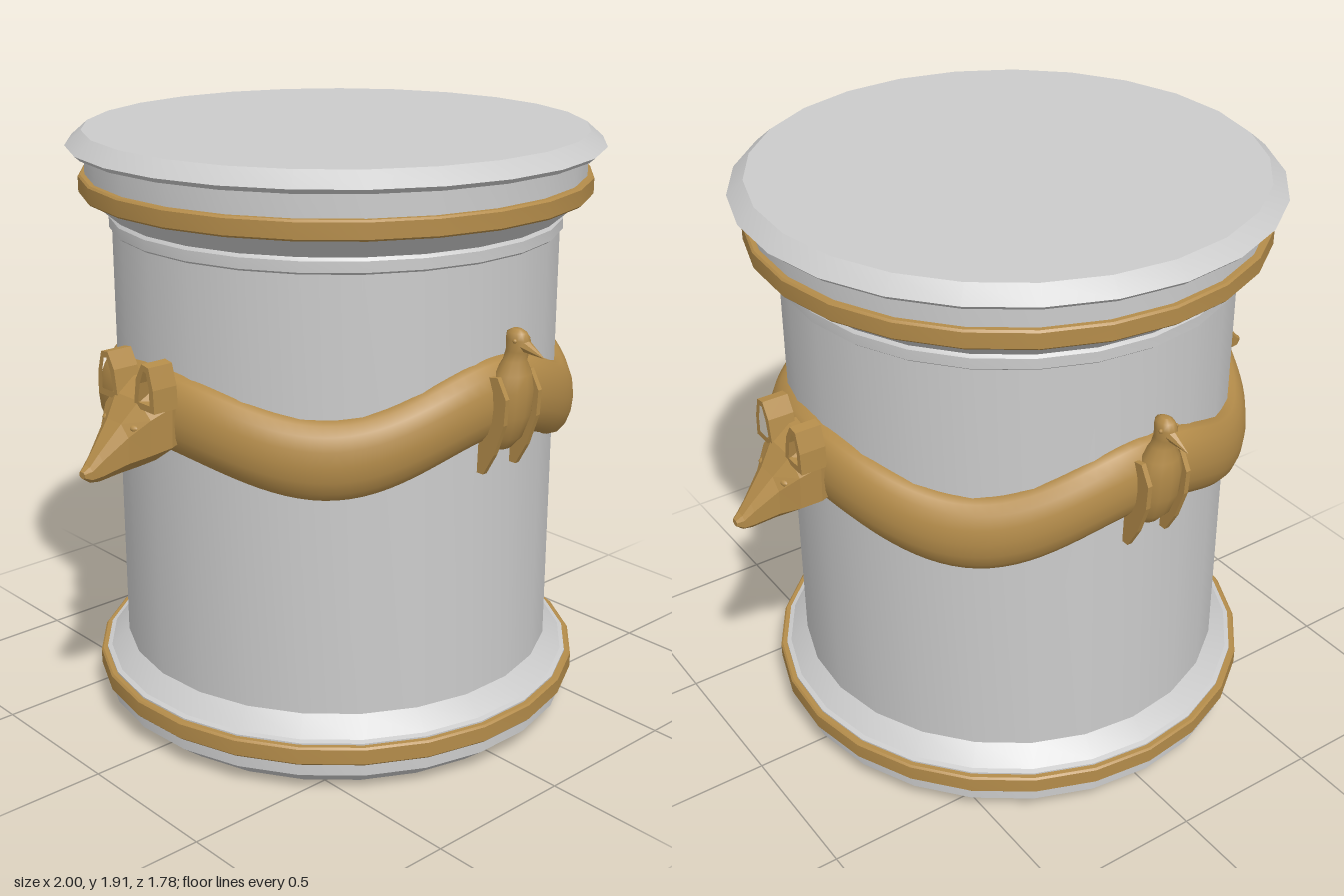
import * as THREE from 'three';
import { toCreasedNormals } from 'three/addons/utils/BufferGeometryUtils.js';
import { ParametricGeometry } from 'three/addons/geometries/ParametricGeometry.js';

const SIDES = 25;
const stone = new THREE.MeshStandardMaterial({ color: 0xcccccc });
const gold = new THREE.MeshStandardMaterial({ color: 0xb48c4a });
const goldFlat = new THREE.MeshStandardMaterial({ color: 0xb48c4a, flatShading: true });

function mesh(name, geometry, material) {
  const m = new THREE.Mesh(geometry, material);
  m.name = name;
  return m;
}

// Turned part with crisp profile edges, one corner facing the back
function turned(profile) {
  const pts = profile.map(([r, y]) => new THREE.Vector2(r, y));
  return toCreasedNormals(new THREE.LatheGeometry(pts, SIDES, Math.PI), 0.35);
}

// Capped skin over rings of [x, y, z], counter-clockwise seen from the last ring
function loft(rings) {
  const n = rings[0].length, pos = rings.flat(2), idx = [];
  for (let i = 0; i < rings.length - 1; i++) {
    for (let k = 0; k < n; k++) {
      const a = i * n + k, b = i * n + (k + 1) % n;
      idx.push(a, b, b + n, a, b + n, a + n);
    }
  }
  const last = (rings.length - 1) * n;
  for (let k = 1; k < n - 1; k++) {
    idx.push(0, k + 1, k, last, last + k, last + k + 1);
  }
  const g = new THREE.BufferGeometry();
  g.setAttribute('position', new THREE.Float32BufferAttribute(pos, 3));
  g.setIndex(idx);
  g.computeVertexNormals();
  return g;
}

function shapeOf(points) {
  return new THREE.Shape(points.map(([a, b]) => new THREE.Vector2(a, b)));
}

// Fox head looking along +x
function foxHead() {
  const head = new THREE.Group();
  const half = [[0.5, 1], [1, 0.78], [0.95, 0.25], [0.35, 0]];
  const outline = [...half, ...half.map(([w, h]) => [-w, h]).reverse()];
  // x, bottom, top, half width
  const sections = [
    [0.66, 1.03, 1.25, 0.12], [0.77, 1.0, 1.24, 0.14], [0.83, 0.99, 1.2, 0.115],
    [0.88, 0.98, 1.135, 0.07], [0.95, 0.967, 1.055, 0.036], [0.98, 0.97, 1.02, 0.026],
    [1.0, 0.985, 1.005, 0.014],
  ];
  head.add(mesh('foxFace', loft(sections.map(([x, lo, hi, w]) =>
    outline.map(([a, b]) => [x, lo + (hi - lo) * b, a * w]))), goldFlat));

  for (const s of [-1, 1]) {
    // Hollow ear: thick rim with a plate behind it
    const rim = [[0.04, 1.18], [0.14, 1.18], [0.137, 1.25], [0.118, 1.315], [0.085, 1.32], [0.055, 1.27]];
    const inner = [[0.062, 1.2], [0.118, 1.2], [0.118, 1.25], [0.105, 1.298], [0.092, 1.3], [0.074, 1.26]];
    const ring = shapeOf(rim.map(([z, y]) => [-s * z, y]));
    ring.holes.push(shapeOf(inner.map(([z, y]) => [-s * z, y])));
    const ear = mesh('ear', new THREE.ExtrudeGeometry(ring, { depth: 0.07, bevelEnabled: false }), goldFlat);
    ear.rotation.y = Math.PI / 2;
    ear.position.x = 0.765;
    const plate = mesh('earBack', new THREE.ExtrudeGeometry(
      shapeOf(rim.map(([z, y]) => [-s * z, y])), { depth: 0.025, bevelEnabled: false }), goldFlat);
    plate.rotation.y = Math.PI / 2;
    plate.position.x = 0.75;

    const eye = mesh('eye', new THREE.SphereGeometry(0.016, 10, 8), gold);
    eye.scale.set(1, 0.75, 1.2);
    eye.position.set(0.855, 1.125, s * 0.068);
    head.add(ear, plate, eye);
  }
  return head;
}

// Perched bird looking along +z
function bird() {
  const group = new THREE.Group();
  // y, centre z, half width, half depth
  const sections = [
    [1.04, 0.74, 0.03, 0.02], [1.08, 0.755, 0.055, 0.04], [1.15, 0.765, 0.07, 0.055],
    [1.23, 0.768, 0.072, 0.06], [1.28, 0.77, 0.058, 0.053], [1.32, 0.775, 0.036, 0.036],
    [1.35, 0.783, 0.03, 0.037], [1.385, 0.785, 0.031, 0.04], [1.405, 0.78, 0.025, 0.033],
    [1.415, 0.78, 0.011, 0.015],
  ];
  group.add(mesh('birdBody', loft(sections.map(([y, zc, w, d]) =>
    Array.from({ length: 12 }, (_, k) => {
      const a = k / 12 * Math.PI * 2;
      return [w * Math.sin(a), y, zc + d * Math.cos(a)];
    }))), gold));

  const beak = mesh('beak', new THREE.ConeGeometry(0.022, 0.085, 8), goldFlat);
  beak.rotation.x = Math.PI / 2 + 0.3;
  beak.position.set(0, 1.358, 0.848);
  group.add(beak);

  const wing = shapeOf([[0.72, 1.27], [0.78, 1.28], [0.815, 1.22], [0.81, 1.14], [0.775, 1.04], [0.735, 0.97], [0.71, 0.97]]);
  for (const s of [-1, 1]) {
    const w = mesh('wing', new THREE.ExtrudeGeometry(wing, { depth: 0.016, bevelEnabled: false }), goldFlat);
    // Turn the outline into the side plane, keeping its depth towards the front
    w.rotation.y = -Math.PI / 2;
    w.position.x = s * 0.071 + 0.008;
    group.add(w);

    const eye = mesh('birdEye', new THREE.SphereGeometry(0.007, 8, 6), gold);
    eye.position.set(s * 0.028, 1.385, 0.797);
    group.add(eye);
  }
  return group;
}

export function createModel() {
  const model = new THREE.Group();
  model.name = 'ornamentedColumn';

  // Drum with base, shaft, neck ring and cap
  model.add(mesh('column', turned([
    [0, 0], [0.71, 0], [0.785, 0.06], [0.785, 0.17], [0.77, 0.175], [0.71, 0.23],
    [0.708, 1.605], [0.717, 1.612], [0.717, 1.645], [0.71, 1.655], [0.785, 1.72],
    [0.785, 1.855], [0.825, 1.855], [0.842, 1.87], [0.79, 1.915], [0, 1.915],
  ]), stone));

  // Gilded bands
  for (const [name, y] of [['lowerBand', 0.105], ['upperBand', 1.72]]) {
    model.add(mesh(name, turned([
      [0.77, y], [0.8, y], [0.806, y + 0.006], [0.806, y + 0.054], [0.8, y + 0.06], [0.77, y + 0.06],
    ]), gold));
  }

  // Swagged garland, high at the birds and a little lower at the foxes
  model.add(mesh('garland', new ParametricGeometry((u, v, p) => {
    const a = u * Math.PI * 2, b = v * Math.PI * 2;
    const rise = 0.115 + 0.025 * Math.cos(2 * a);
    const y = 1.053 + rise * Math.cos(2 * a) ** 2;
    const r = 0.705 + 0.068 * Math.cos(b);
    p.set(r * Math.sin(a), y + 0.123 * Math.sin(b), r * Math.cos(a));
  }, 120, 16), gold));

  // Fox heads on the sides, birds front and back
  for (const turn of [0, Math.PI]) {
    const fox = foxHead();
    fox.name = turn ? 'rightFoxHead' : 'leftFoxHead';
    const perched = bird();
    perched.name = turn ? 'backBird' : 'frontBird';
    fox.rotation.y = perched.rotation.y = turn;
    model.add(fox, perched);
  }
  return model;
}
